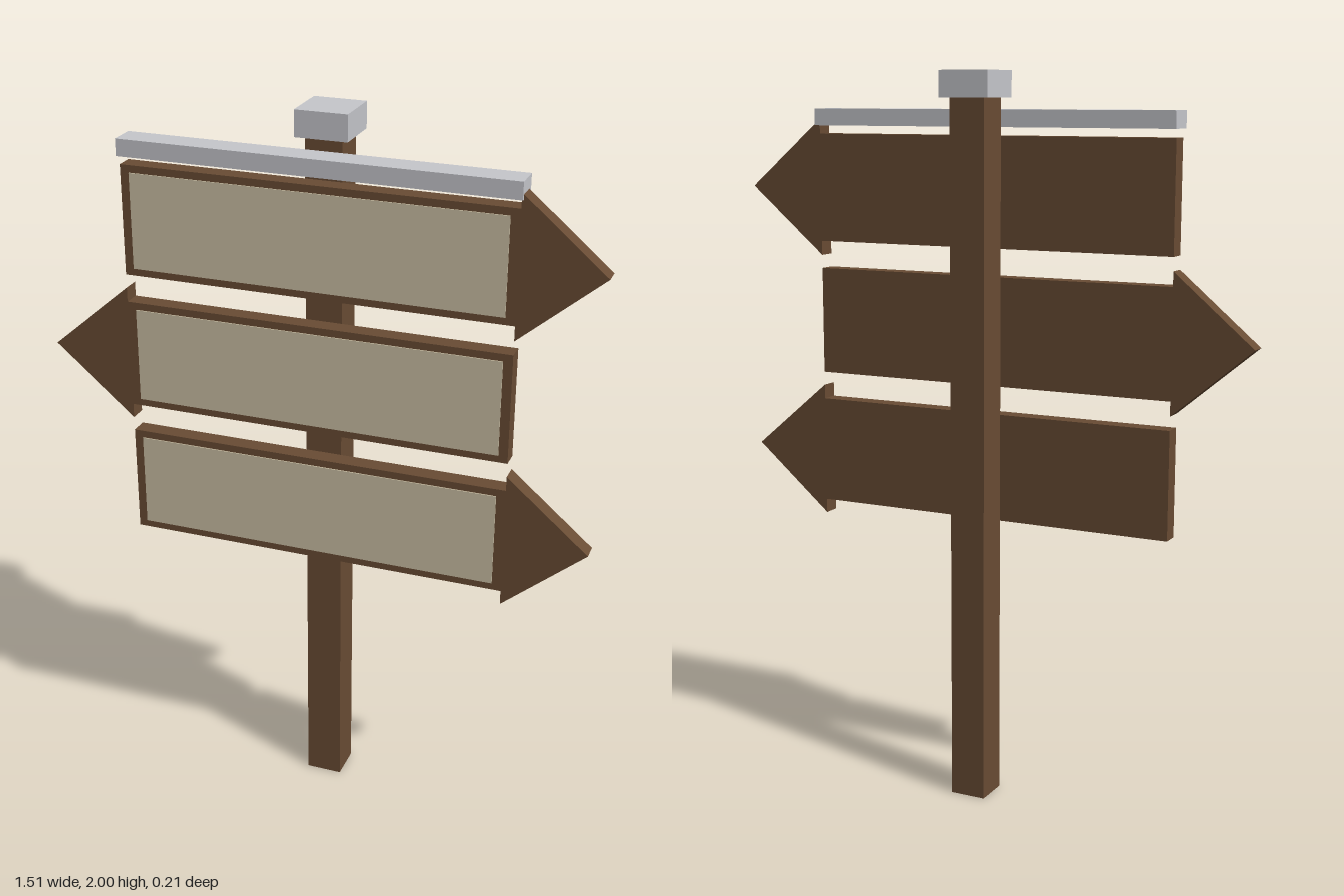
import * as THREE from 'three';

export function createModel() {
  const wood = new THREE.MeshStandardMaterial({ name: 'brown wood', color: 0x694c34 });
  const cream = new THREE.MeshStandardMaterial({ name: 'cream panel', color: 0xcdc1a6 });
  const metal = new THREE.MeshStandardMaterial({ name: 'pale grey', color: 0xc6c7cc });

  const root = new THREE.Group();
  root.name = 'signpost';

  function box(name, material, size, position, parent = root) {
    const mesh = new THREE.Mesh(new THREE.BoxGeometry(...size), material);
    mesh.name = name;
    mesh.position.set(...position);
    parent.add(mesh);
  }

  // Post with its cap, and the strip above the top board
  box('post', wood, [0.1, 1.93, 0.1], [0, 0.965, -0.034]);
  box('postCap', metal, [0.142, 0.07, 0.142], [0, 1.965, -0.034]);
  box('topStrip', metal, [1.07, 0.046, 0.076], [0, 1.876, 0.065]);

  // Arrow board outline; dir is the side it points to
  function boardGeometry(dir) {
    const outline = [
      [-0.53, -0.15], [0.53, -0.15], [0.53, -0.19], [0.755, 0],
      [0.53, 0.19], [0.53, 0.15], [-0.53, 0.15],
    ];
    const shape = new THREE.Shape(outline.map(([x, y]) => new THREE.Vector2(x * dir, y)));
    return new THREE.ExtrudeGeometry(shape, { depth: 0.049, bevelEnabled: false });
  }

  // Three boards pointing in alternate directions
  [['top', 1.68, 1], ['middle', 1.303, -1], ['bottom', 0.925, 1]].forEach(([name, y, dir]) => {
    const sign = new THREE.Group();
    sign.name = name + 'Sign';
    sign.position.set(0, y, 0.045);
    const board = new THREE.Mesh(boardGeometry(dir), wood);
    board.name = name + 'Board';
    sign.add(board);
    box(name + 'Panel', cream, [1.01, 0.26, 0.006], [0, 0, 0.049], sign);
    root.add(sign);
  });

  return root;
}
